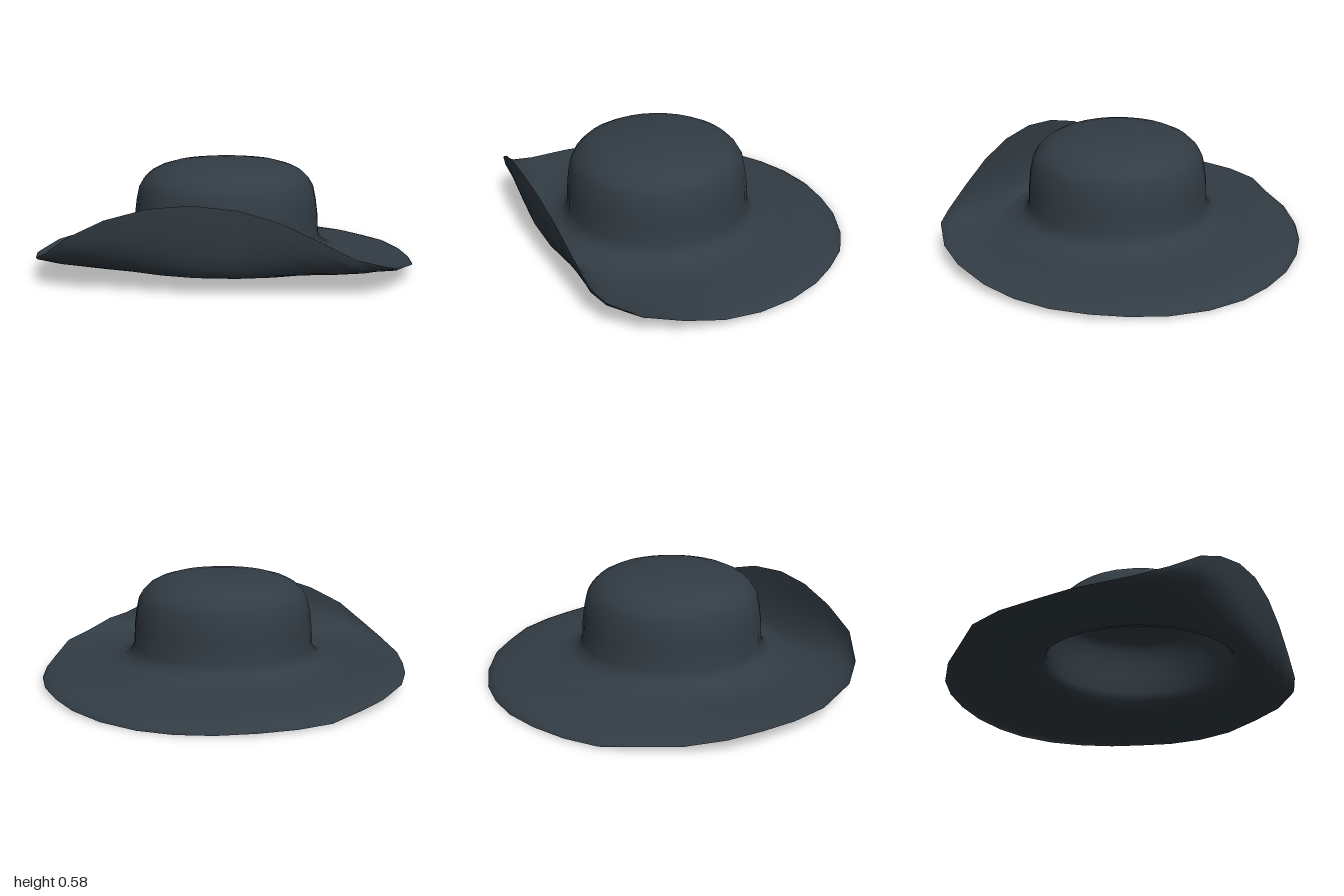
import * as THREE from 'three';

// Brim edge, one [x, y, z] per spoke, running from the front corner round by the right, back and left
const EDGE = [
  [-0.42, 0.27, 0.93], [-0.58, 0.17, 0.89], [-0.71, 0.115, 0.79], [-0.86, 0.085, 0.58],
  [-0.93, 0.075, 0.4], [-0.98, 0.075, 0.22], [-1, 0.065, 0.04], [-0.95, 0.035, -0.15],
  [-0.89, 0.03, -0.34], [-0.8, 0.01, -0.51], [-0.68, 0.01, -0.65], [-0.53, 0.01, -0.77],
  [-0.36, 0.005, -0.86], [-0.18, 0, -0.91], [0, 0, -0.93], [0.2, 0.005, -0.91],
  [0.39, 0.015, -0.85], [0.55, 0.02, -0.75], [0.69, 0.03, -0.64], [0.81, 0.03, -0.49],
  [0.9, 0.035, -0.32], [0.96, 0.05, -0.14], [1, 0.09, 0.05], [0.98, 0.11, 0.24],
  [0.92, 0.16, 0.4], [0.84, 0.19, 0.47], [0.7, 0.27, 0.54], [0.53, 0.36, 0.62],
  [0.35, 0.42, 0.7], [0.15, 0.44, 0.78], [-0.04, 0.42, 0.84], [-0.24, 0.36, 0.89],
];
// Crown profile [radius, height] from the apex down to the flare into the brim
const PROFILE = [
  [0, 0.58], [0.14, 0.572], [0.27, 0.556], [0.345, 0.535], [0.395, 0.51], [0.435, 0.472],
  [0.46, 0.43], [0.475, 0.36], [0.485, 0.28], [0.49, 0.18], [0.51, 0.14], [0.54, 0.11], [0.62, 0.08],
];
const CROWN_RINGS = 9;
const BRIM_STEPS = 7;
const CX = 0.005, CZ = 0.08;

export function createModel() {
  const group = new THREE.Group();
  const felt = new THREE.MeshStandardMaterial({ color: 0x323c44, side: THREE.DoubleSide });
  felt.name = 'dark slate felt';

  const n = EDGE.length;
  const positions = [];
  const addPoint = (spoke, r, y) => {
    const a = Math.atan2(EDGE[spoke][2] - CZ, EDGE[spoke][0] - CX);
    positions.push(CX + r * Math.cos(a), y, CZ + r * Math.sin(a));
  };

  // Round crown and its flare
  for (const [r, y] of PROFILE) {
    for (let j = 0; j < n; j++) addPoint(j, r, y);
  }
  // Brim curls from the flare to its uneven edge along a quarter ellipse
  const [r0, y0] = PROFILE[PROFILE.length - 1];
  for (let i = 1; i <= BRIM_STEPS; i++) {
    const t = (i / BRIM_STEPS) * Math.PI / 2;
    const rise = i === BRIM_STEPS ? 1 : Math.pow(1 - Math.cos(t), 1.15);
    EDGE.forEach(([x, y, z], j) => {
      const rEdge = Math.hypot(x - CX, z - CZ);
      addPoint(j, r0 + (rEdge - r0) * Math.sin(t), y0 + (y - y0) * rise);
    });
  }

  // Faces between two rings; the first ring collapses to one apex point
  const skin = (from, to) => {
    const index = [];
    for (let i = from; i < to; i++) {
      for (let j = 0; j < n; j++) {
        const k = (j + 1) % n;
        const a = i === 0 ? 0 : i * n + j, d = i * n + k;
        const b = (i + 1) * n + j, c = (i + 1) * n + k;
        index.push(a, c, b);
        if (i > 0) index.push(a, d, c);
      }
    }
    return index;
  };

  // Normals are found over the whole hat so the two parts blend smoothly
  const lastRing = PROFILE.length - 1 + BRIM_STEPS;
  const whole = new THREE.BufferGeometry();
  whole.setAttribute('position', new THREE.Float32BufferAttribute(positions, 3));
  whole.setIndex(skin(0, lastRing));
  whole.computeVertexNormals();

  const addPart = (name, from, to) => {
    const geometry = whole.clone();
    geometry.setIndex(skin(from, to));
    const mesh = new THREE.Mesh(geometry, felt);
    mesh.name = name;
    group.add(mesh);
  };
  addPart('crown', 0, CROWN_RINGS);
  addPart('brim', CROWN_RINGS, lastRing);

  group.name = 'hat';
  return group;
}
